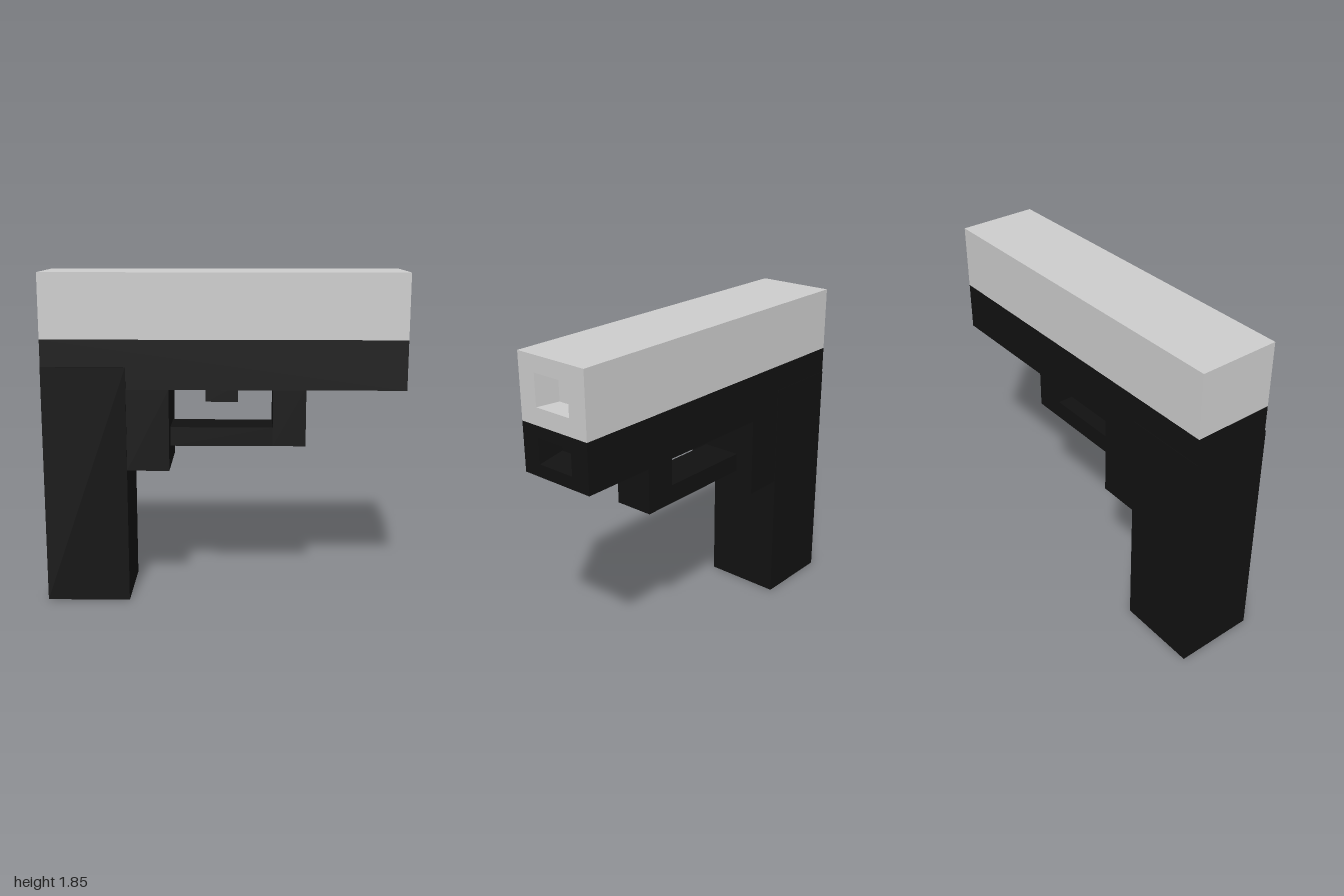
import * as THREE from 'three';

const grey = new THREE.MeshStandardMaterial({ color: 0xcccccc, flatShading: true });
const black = new THREE.MeshStandardMaterial({ color: 0x111111, flatShading: true });

// Block given by its lower and upper limits on each axis
function block(name, [x0, x1], [y0, y1], [z0, z1]) {
  const mesh = new THREE.Mesh(new THREE.BoxGeometry(x1 - x0, y1 - y0, z1 - z0), black);
  mesh.position.set((x0 + x1) / 2, (y0 + y1) / 2, (z0 + z1) / 2);
  mesh.name = name;
  return mesh;
}

// Long beam with a tapered square recess in its +x end.
// Each section is [x, y0, y1, z0, z1]; neighbouring sections are joined by four quads.
function beam(name, material, sections) {
  const rings = sections.map(([x, y0, y1, z0, z1]) =>
    [[x, y0, z1], [x, y0, z0], [x, y1, z0], [x, y1, z1]]);
  const pos = [];
  const quad = (a, b, c, d) => pos.push(...a, ...b, ...c, ...a, ...c, ...d);
  for (let i = 0; i < rings.length - 1; i++) {
    for (let k = 0; k < 4; k++) {
      const n = (k + 1) % 4;
      quad(rings[i][k], rings[i][n], rings[i + 1][n], rings[i + 1][k]);
    }
  }
  const first = rings[0];
  quad(first[3], first[2], first[1], first[0]); // rear end
  quad(...rings[rings.length - 1]); // recess floor
  const geometry = new THREE.BufferGeometry();
  geometry.setAttribute('position', new THREE.Float32BufferAttribute(pos, 3));
  geometry.computeVertexNormals();
  const mesh = new THREE.Mesh(geometry, material);
  mesh.name = name;
  return mesh;
}

export function createModel() {
  const group = new THREE.Group();
  group.name = 'blockPistol';
  const wide = [-0.228, 0.225];
  const narrow = [-0.115, 0.115];

  // Upper slide with the muzzle recess, and the frame below it
  group.add(beam('slide', grey, [
    [-1, 1.49, 1.85, ...wide],
    [1, 1.49, 1.85, ...wide],
    [1, 1.585, 1.76, ...narrow],
    [0.87, 1.585, 1.715, -0.11, 0.09],
  ]));
  group.add(beam('frame', black, [
    [-1, 1.215, 1.49, ...wide],
    [1, 1.215, 1.49, ...wide],
    [1, 1.285, 1.425, ...narrow],
    [0.87, 1.325, 1.425, -0.11, 0.09],
  ]));

  // Grip and the block in front of it
  group.add(block('grip', [-1, -0.535], [0, 1.34], [-0.23, 0.232]));
  group.add(block('gripFrontBlock', [-0.535, -0.3], [0.76, 1.215], wide));

  // Trigger and its guard
  group.add(block('trigger', [-0.105, 0.08], [1.12, 1.215], [-0.055, 0.055]));
  group.add(block('guardBar', [-0.3, 0.275], [0.878, 0.985], narrow));
  group.add(block('guardPost', [0.275, 0.46], [0.878, 1.215], narrow));
  return group;
}
